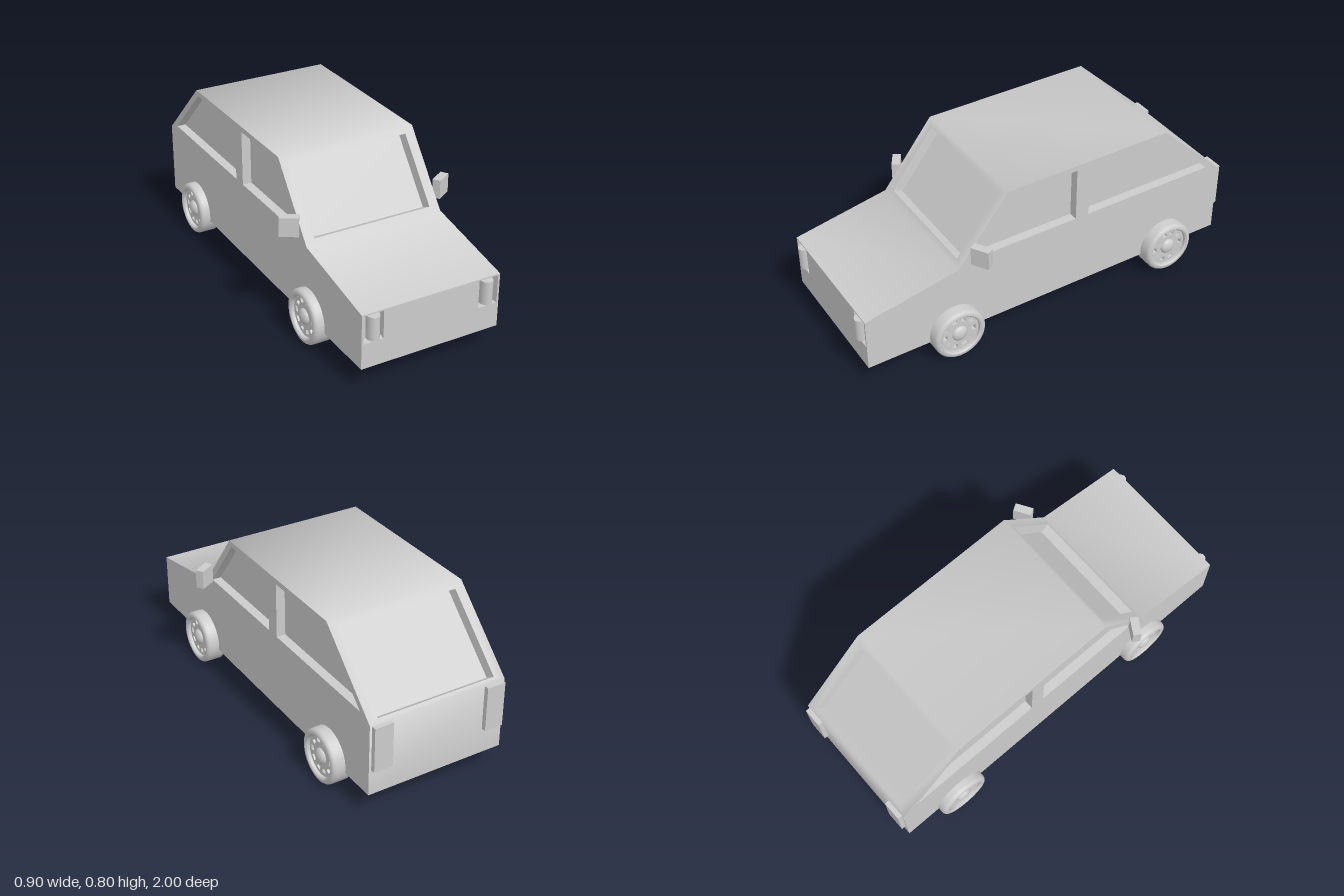
import * as THREE from 'three';
import { toCreasedNormals } from 'three/addons/utils/BufferGeometryUtils.js';

const grey = new THREE.MeshStandardMaterial({ color: 0xcccccc });
const HALF = 0.3525; // half body width
const V2 = (p) => new THREE.Vector2(p[0], p[1]);

function add(parent, name, geometry, x = 0, y = 0, z = 0) {
  const mesh = new THREE.Mesh(geometry, grey);
  mesh.name = name;
  mesh.position.set(x, y, z);
  parent.add(mesh);
  return mesh;
}

// Crease at a larger scale so that small details are not welded together
function crease(geometry, angle) {
  return toCreasedNormals(geometry.scale(100, 100, 100), angle).scale(0.01, 0.01, 0.01);
}

// Flat panel with recessed pockets; map(u, v, depth) gives the 3D point
function addPanel(out, outline, pockets, map, flip = false) {
  const tri = (a, b, c) => {
    for (const p of flip ? [a, c, b] : [a, b, c]) out.push(...map(...p));
  };
  const fill = (shape, depth) => {
    const g = new THREE.ShapeGeometry(shape).toNonIndexed();
    const p = g.attributes.position;
    const at = (i) => [p.getX(i), p.getY(i), depth];
    for (let i = 0; i < p.count; i += 3) tri(at(i), at(i + 1), at(i + 2));
  };
  const shape = new THREE.Shape(outline.map(V2));
  for (const pocket of pockets) {
    const pts = pocket.map(V2);
    if (THREE.ShapeUtils.isClockWise(pts)) pts.reverse();
    shape.holes.push(new THREE.Path(pts));
    fill(new THREE.Shape(pts), 1);
    pts.forEach((a, i) => {
      const b = pts[(i + 1) % pts.length];
      tri([a.x, a.y, 0], [b.x, b.y, 0], [b.x, b.y, 1]);
      tri([a.x, a.y, 0], [b.x, b.y, 1], [a.x, a.y, 1]);
    });
  }
  fill(shape, 0);
}

function bodyGeometry() {
  const out = [];
  // Side profile as [z, y], from the front bottom over the roof to the rear bottom
  const profile = [[0.977, 0.105], [0.977, 0.375], [0.5, 0.465], [0.24, 0.797],
    [-0.63, 0.797], [-0.977, 0.465], [-0.977, 0.105]];
  const rect = (x0, x1, v0, v1) => [[x0, v0], [x1, v0], [x1, v1], [x0, v1]];

  // Pockets in the profile strips: headlamps, windscreen, rear window
  const cut = {
    0: { holes: [rect(-0.343, -0.244, 0.46, 0.975), rect(0.244, 0.343, 0.46, 0.975)], z: -0.04, y: 0 },
    2: { holes: [rect(-0.304, 0.304, 0.07, 0.92)], z: -0.045, y: -0.02 },
    4: { holes: [rect(-0.304, 0.304, 0.07, 0.955)], z: 0.04, y: -0.025 },
  };
  profile.forEach((a, i) => {
    const b = profile[(i + 1) % profile.length];
    const { holes, z, y } = cut[i] || { holes: [], z: 0, y: 0 };
    addPanel(out, rect(-HALF, HALF, 0, 1), holes, (u, v, d) => [
      u * (1 - 0.02 * d),
      a[1] + (b[1] - a[1]) * v + y * d,
      a[0] + (b[0] - a[0]) * v + z * d,
    ]);
  });

  // Sides with their window pockets
  const windows = [
    [[0.437, 0.495], [0.22, 0.77], [-0.13, 0.77], [-0.13, 0.495]],
    [[-0.2, 0.495], [-0.2, 0.77], [-0.615, 0.77], [-0.9, 0.495]],
  ];
  for (const s of [1, -1]) {
    addPanel(out, profile, windows, (u, v, d) => [s * (HALF - 0.045 * d), v, u], s > 0);
  }
  const g = new THREE.BufferGeometry();
  g.setAttribute('position', new THREE.Float32BufferAttribute(out, 3));
  return crease(g, 1.05);
}

// Wheel with its axle along x, outer face towards +x
function buildWheel(name) {
  const wheel = new THREE.Group();
  wheel.name = name;
  const tyre = [[0.1, 0], [0.128, 0], [0.132, 0.004], [0.132, 0.078], [0.13, 0.087],
    [0.125, 0.094], [0.117, 0.098], [0.107, 0.098], [0.1, 0.092], [0.1, 0]];
  add(wheel, 'tyre', crease(new THREE.LatheGeometry(tyre.map(V2), 40), 0.7).rotateZ(-Math.PI / 2));

  // Rim disc pierced by a ring of vents
  const disc = new THREE.Shape().absarc(0, 0, 0.101, 0, Math.PI * 2);
  for (let i = 0; i < 10; i++) {
    const a = (i / 10) * Math.PI * 2;
    const corner = (r, t) => new THREE.Vector2(r * Math.cos(a + t), r * Math.sin(a + t));
    disc.holes.push(new THREE.Path([
      corner(0.066, -0.18), corner(0.066, 0.18), corner(0.086, 0.16), corner(0.086, -0.16)]));
  }
  const rim = new THREE.ExtrudeGeometry(disc, { depth: 0.07, bevelEnabled: false, curveSegments: 20 });
  add(wheel, 'rim', rim.rotateY(Math.PI / 2), 0.008);

  const hub = new THREE.SphereGeometry(0.04, 24, 16).scale(0.6, 1, 1);
  add(wheel, 'hub', hub, 0.076);
  return wheel;
}

export function createModel() {
  const model = new THREE.Group();
  model.name = 'car';

  const shell = new THREE.Group();
  shell.name = 'bodyGroup';
  shell.position.x = -0.0075;
  model.add(shell);
  add(shell, 'body', bodyGeometry());

  for (const s of [1, -1]) {
    const side = s > 0 ? 'left' : 'right';

    // Lamps
    const lamp = new THREE.CylinderGeometry(0.029, 0.029, 0.116, 24).scale(1, 1, 1.2);
    add(shell, side + 'Headlamp', lamp, s * 0.29, 0.3, 0.963);
    add(shell, side + 'TailLamp', new THREE.BoxGeometry(0.095, 0.225, 0.04), s * 0.293, 0.347, -0.98);

    // Wing mirror, outer end swept back
    const mirror = add(model, side + 'Mirror', new THREE.BoxGeometry(0.09, 0.094, 0.04), s * 0.4, 0.543, 0.412);
    mirror.rotation.y = s * 0.55;

    // Wheels
    for (const [end, z] of [['Front', 0.53], ['Rear', -0.662]]) {
      const wheel = buildWheel(side + end + 'Wheel');
      wheel.position.set(s * 0.31, 0.132, z);
      if (s < 0) wheel.rotation.y = Math.PI;
      model.add(wheel);
    }
  }
  return model;
}
